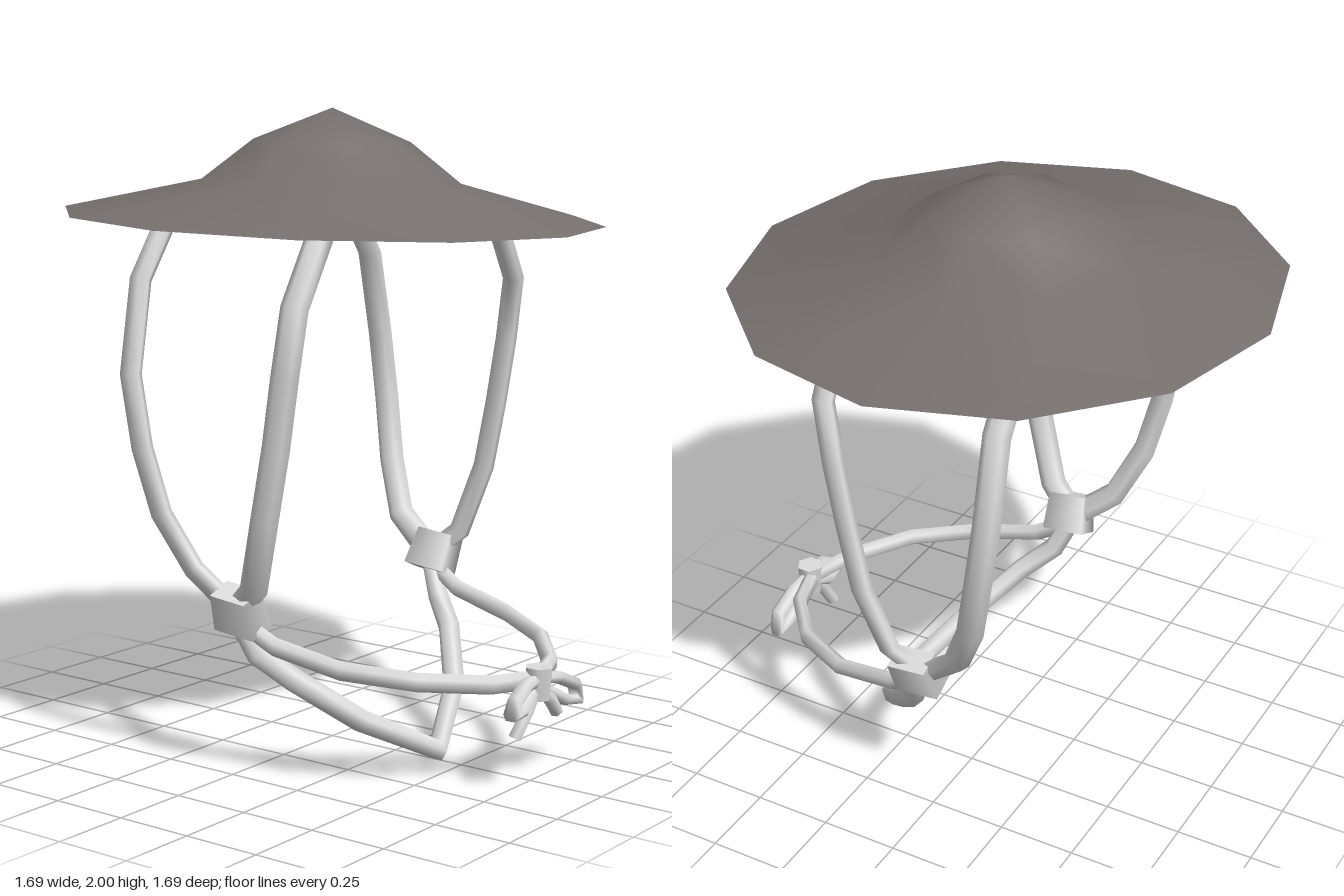
import * as THREE from 'three';

const hatMat = new THREE.MeshStandardMaterial({ color: 0x76706e });
hatMat.name = 'dark woven hat';
const strapMat = new THREE.MeshStandardMaterial({ color: 0xdedede });
strapMat.name = 'pale strap';

function makeMesh(name, pos, idx, mat) {
  const g = new THREE.BufferGeometry();
  g.setAttribute('position', new THREE.Float32BufferAttribute(pos, 3));
  g.setIndex(idx);
  g.computeVertexNormals();
  const m = new THREE.Mesh(g, mat);
  m.name = name;
  return m;
}

// Sweeps a six-sided oval along a polyline: half width a along 'side', half thickness b across it
function cord(name, pts, a, b, side) {
  const P = pts.map((p) => new THREE.Vector3(...p));
  const S = new THREE.Vector3(...side);
  const N = 6, pos = [], idx = [];
  P.forEach((p, i) => {
    const t = P[Math.min(i + 1, P.length - 1)].clone().sub(P[Math.max(i - 1, 0)]).normalize();
    const u = S.clone().addScaledVector(t, -S.dot(t)).normalize();
    const v = new THREE.Vector3().crossVectors(t, u);
    for (let k = 0; k < N; k++) {
      const ang = (k / N) * Math.PI * 2;
      const q = p.clone().addScaledVector(u, Math.cos(ang) * a).addScaledVector(v, Math.sin(ang) * b);
      pos.push(q.x, q.y, q.z);
    }
  });
  for (let i = 0; i < P.length - 1; i++) {
    for (let k = 0; k < N; k++) {
      const c = i * N + k, d = i * N + ((k + 1) % N);
      idx.push(c, d, c + N, d, d + N, c + N);
    }
  }
  // End caps use their own vertices so their edges stay sharp
  for (const end of [0, P.length - 1]) {
    const base = pos.length / 3;
    pos.push(...pos.slice(end * N * 3, (end + 1) * N * 3));
    for (let k = 1; k < N - 1; k++) {
      if (end === 0) idx.push(base, base + k + 1, base + k);
      else idx.push(base, base + k, base + k + 1);
    }
  }
  return makeMesh(name, pos, idx, strapMat);
}

// Continues a half path, which ends at x = 0, to the other side
const mirrored = (half) => [...half, ...half.slice(0, -1).reverse().map(([x, y, z]) => [-x, y, z])];

// Joins rings of [radius, height, corner count], each leaning down slightly to the front and left
function rings(name, list) {
  const pos = [], idx = [], starts = [];
  for (const [r, y, n] of list) {
    starts.push(pos.length / 3);
    for (let k = 0; k < n; k++) {
      const ang = (k / n) * Math.PI * 2 + 0.01;
      const x = Math.sin(ang) * r, z = Math.cos(ang) * r;
      pos.push(x, y - 0.03 * z - 0.009 * x, z);
    }
  }
  for (let i = 0; i < list.length - 1; i++) {
    const n = list[i][2], m = list[i + 1][2], A = starts[i], B = starts[i + 1];
    // Advance on whichever ring lags behind
    for (let j = 0, k = 0; j < n || (m > 1 && k < m);) {
      if (m === 1 || (j < n && (j + 0.5) / n <= (k + 0.5) / m)) {
        idx.push(A + (j % n), A + ((j + 1) % n), B + (k % m));
        j++;
      } else {
        idx.push(A + (j % n), B + ((k + 1) % m), B + (k % m));
        k++;
      }
    }
  }
  return makeMesh(name, pos, idx, hatMat);
}

function makeHat() {
  const hat = new THREE.Group();
  hat.name = 'hat';
  const crown = rings('crownAndBrim', [[0.843, 1.667, 12], [0.405, 1.775, 8], [0.245, 1.9, 8], [0, 2, 1]]);
  // Flat base: the same rim turned inward and seen from below
  const underside = rings('underside', [[0.843, 1.667, 12], [0, 1.667, 1]]);
  underside.geometry.index.array.reverse();
  underside.geometry.computeVertexNormals();
  hat.add(crown, underside);
  return hat;
}

function makeSide(s, label) {
  const side = new THREE.Group();
  side.name = label + 'Straps';
  const flip = (pts) => pts.map(([x, y, z]) => [s * x, y, z]);
  // Two flattened straps hanging from the hat, lying around the head
  side.add(cord('frontStrap', flip([[0.445, 1.67, 0.305], [0.57, 1.45, 0.3], [0.578, 1.25, 0.27],
    [0.576, 1.04, 0.235], [0.575, 0.82, 0.19], [0.54, 0.6, 0.12], [0.51, 0.53, 0.04]]),
  0.042, 0.031, [-0.45 * s, 0, 0.9]));
  side.add(cord('backStrap', flip([[0.45, 1.68, -0.28], [0.575, 1.5, -0.28], [0.63, 1.22, -0.275],
    [0.622, 1.0, -0.24], [0.59, 0.8, -0.195], [0.535, 0.63, -0.115], [0.51, 0.52, 0.02]]),
  0.042, 0.029, [0.25 * s, 0, 0.97]));
  // Chunky four-cornered knot gathering the straps
  const block = new THREE.CylinderGeometry(0.092, 0.104, 0.125, 4).rotateY(Math.PI / 4).scale(0.64, 1, 1);
  const knot = new THREE.Mesh(block, strapMat);
  knot.name = 'sideKnot';
  knot.position.set(s * 0.512, 0.522, 0.04);
  knot.rotation.set(0.1, 0, -s * 0.4);
  side.add(knot);
  return side;
}

// Cord running forward to the bow, and cord under the chin
function makeLowerCords() {
  const cords = new THREE.Group();
  cords.name = 'lowerCords';
  cords.add(cord('bowCord', mirrored([[0.505, 0.49, 0.03], [0.48, 0.42, 0.15], [0.445, 0.375, 0.37],
    [0.335, 0.35, 0.57], [0.16, 0.328, 0.715], [0, 0.32, 0.77]]), 0.03, 0.025, [0, 1, 0.1]));
  cords.add(cord('chinCord', mirrored([[0.505, 0.5, 0.03], [0.475, 0.385, 0.08], [0.41, 0.305, 0.17],
    [0.25, 0.165, 0.3], [0, 0.032, 0.41]]), 0.035, 0.036, [0.1, 0, 1]));
  return cords;
}

function makeBow() {
  const bow = new THREE.Group();
  bow.name = 'bow';
  const knot = new THREE.Mesh(new THREE.CylinderGeometry(0.045, 0.037, 0.1, 6), strapMat);
  knot.name = 'bowKnot';
  knot.position.set(-0.005, 0.312, 0.78);
  bow.add(knot);
  // Two loops and two tails
  const loop = (name, pts) => bow.add(cord(name, pts, 0.028, 0.02, [0, 0.1, 1]));
  const tail = (name, pts) => bow.add(cord(name, pts, 0.021, 0.021, [0.1, 0, 1]));
  loop('rightLoop', [[-0.01, 0.325, 0.775], [-0.09, 0.32, 0.785], [-0.15, 0.29, 0.79],
    [-0.16, 0.245, 0.785], [-0.1, 0.247, 0.78], [-0.01, 0.3, 0.77]]);
  loop('leftLoop', [[0, 0.325, 0.775], [0.09, 0.31, 0.785], [0.18, 0.27, 0.79],
    [0.205, 0.215, 0.785], [0.13, 0.23, 0.78], [0, 0.3, 0.77]]);
  tail('rightTail', [[-0.01, 0.3, 0.775], [-0.07, 0.235, 0.78], [-0.105, 0.16, 0.76]]);
  tail('leftTail', [[0, 0.3, 0.775], [0.045, 0.25, 0.79], [0.08, 0.205, 0.79]]);
  return bow;
}

export function createModel() {
  const model = new THREE.Group();
  model.name = 'strappedHat';
  model.add(makeHat(), makeSide(1, 'left'), makeSide(-1, 'right'), makeLowerCords(), makeBow());
  return model;
}
